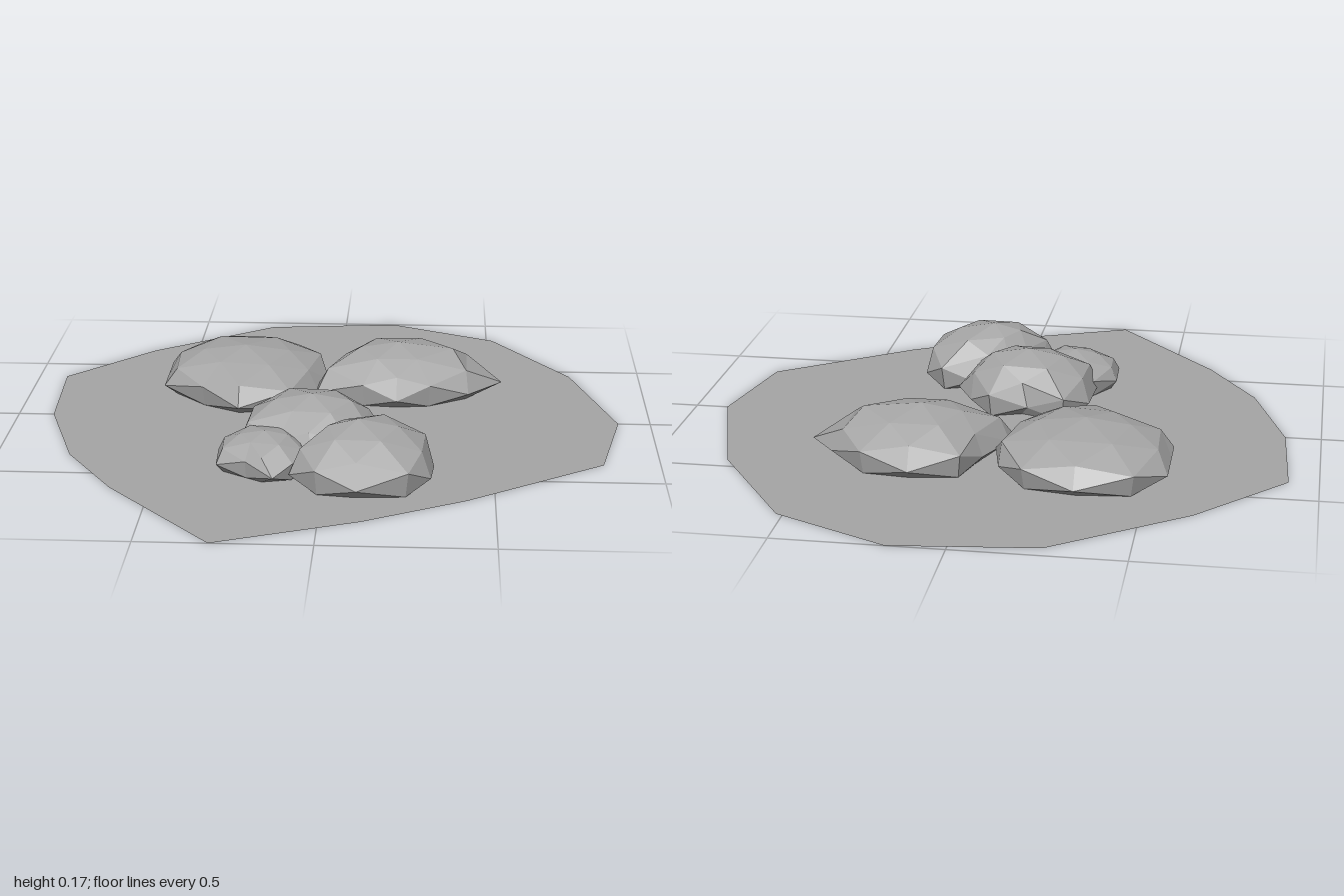
import * as THREE from 'three';

const stone = new THREE.MeshStandardMaterial({ color: 0xa6a6a6 });
stone.name = 'stone grey';
stone.flatShading = true;
const ground = new THREE.MeshStandardMaterial({ color: 0xa6a6a6, side: THREE.DoubleSide });
ground.name = 'ground grey';

// Distance from the centre to the plan outline along an azimuth
function reach(points, angle) {
  const dx = Math.cos(angle), dz = Math.sin(angle);
  let best = 0;
  points.forEach(([ax, az], i) => {
    const [bx, bz] = points[(i + 1) % points.length];
    const ex = bx - ax, ez = bz - az;
    const det = dx * ez - dz * ex;
    if (Math.abs(det) < 1e-9) return;
    const t = (ax * ez - az * ex) / det;
    const u = (ax * dz - az * dx) / det;
    if (t > 0 && u >= -1e-6 && u <= 1 + 1e-6) best = Math.max(best, t);
  });
  return best;
}

// A faceted ball fitted to a plan outline, squashed and flattened at the ground
function makeRock(name, cx, cz, height, outline) {
  const middle = 0.03;
  const points = outline.map(([x, z]) => [x - cx, z - cz]);
  const geometry = new THREE.IcosahedronGeometry(1, 1);
  const pos = geometry.attributes.position;
  const v = new THREE.Vector3();
  for (let i = 0; i < pos.count; i++) {
    v.fromBufferAttribute(pos, i);
    const h = Math.hypot(v.x, v.z);
    let x = 0, z = 0;
    if (h > 1e-4) {
      let angle = Math.atan2(v.z, v.x);
      let r = reach(points, angle);
      // Let the widest corners settle onto nearby outline corners
      if (Math.abs(v.y) < 0.35) {
        let nearest = 0.25;
        const start = angle;
        for (const [px, pz] of points) {
          const a = Math.atan2(pz, px);
          const gap = Math.abs(Math.atan2(Math.sin(a - start), Math.cos(a - start)));
          if (gap < nearest) {
            nearest = gap;
            angle = a;
            r = Math.hypot(px, pz);
          }
        }
      }
      const s = v.y > -0.01 && v.y < 0.35 ? 1 : h;
      x = Math.cos(angle) * r * s;
      z = Math.sin(angle) * r * s;
    }
    pos.setXYZ(i, cx + x, Math.max(0, middle + v.y * (height - middle)), cz + z);
  }
  geometry.computeVertexNormals();
  const mesh = new THREE.Mesh(geometry, stone);
  mesh.name = name;
  return mesh;
}

export function createModel() {
  const group = new THREE.Group();
  group.name = 'rockCluster';

  // Flat irregular ground patch
  const edge = [
    [-0.91, -0.37], [-0.65, -0.66], [-0.26, -0.95], [0.17, -1], [0.52, -0.83],
    [0.77, -0.45], [0.9, 0], [0.83, 0.36], [0.42, 0.66], [0.12, 0.83],
    [-0.29, 1], [-0.62, 0.61], [-0.78, 0.35], [-0.89, 0],
  ];
  const shape = new THREE.Shape(edge.map(([x, z]) => new THREE.Vector2(x, -z)));
  const patch = new THREE.Mesh(new THREE.ShapeGeometry(shape).rotateX(-Math.PI / 2), ground);
  patch.name = 'groundPatch';
  group.add(patch);

  // Rocks: name, centre x and z, height, plan outline
  group.add(
    makeRock('backRightRock', -0.3, -0.3, 0.145, [
      [-0.3, -0.61], [-0.14, -0.55], [0, -0.38], [-0.06, -0.2], [-0.14, -0.07],
      [-0.3, 0], [-0.56, -0.21], [-0.56, -0.45], [-0.47, -0.56],
    ]),
    makeRock('backLeftRock', 0.2, -0.3, 0.163, [
      [0.2, -0.54], [0.05, -0.49], [0, -0.38], [-0.06, -0.24], [-0.06, -0.17],
      [0.2, -0.09], [0.43, -0.17], [0.54, -0.3], [0.46, -0.4], [0.35, -0.5],
    ]),
    makeRock('middleRock', -0.05, 0.24, 0.17, [
      [-0.19, 0.03], [-0.07, 0.06], [0.05, 0.04], [0.12, 0.11], [0.18, 0.23],
      [0.16, 0.29], [0.07, 0.4], [-0.04, 0.44], [-0.27, 0.33], [-0.26, 0.13],
    ]),
    makeRock('frontRock', 0.1, 0.47, 0.175, [
      [0.14, 0.28], [0.245, 0.27], [0.31, 0.345], [0.33, 0.39], [0.315, 0.57],
      [0.25, 0.65], [0.1, 0.685], [-0.02, 0.645], [-0.1, 0.56], [-0.06, 0.45], [0.03, 0.35],
    ]),
    makeRock('smallRock', -0.18, 0.42, 0.115, [
      [-0.325, 0.36], [-0.26, 0.27], [-0.12, 0.28], [-0.05, 0.4], [-0.05, 0.47],
      [-0.09, 0.54], [-0.145, 0.595], [-0.23, 0.53], [-0.32, 0.49],
    ]),
  );
  return group;
}
